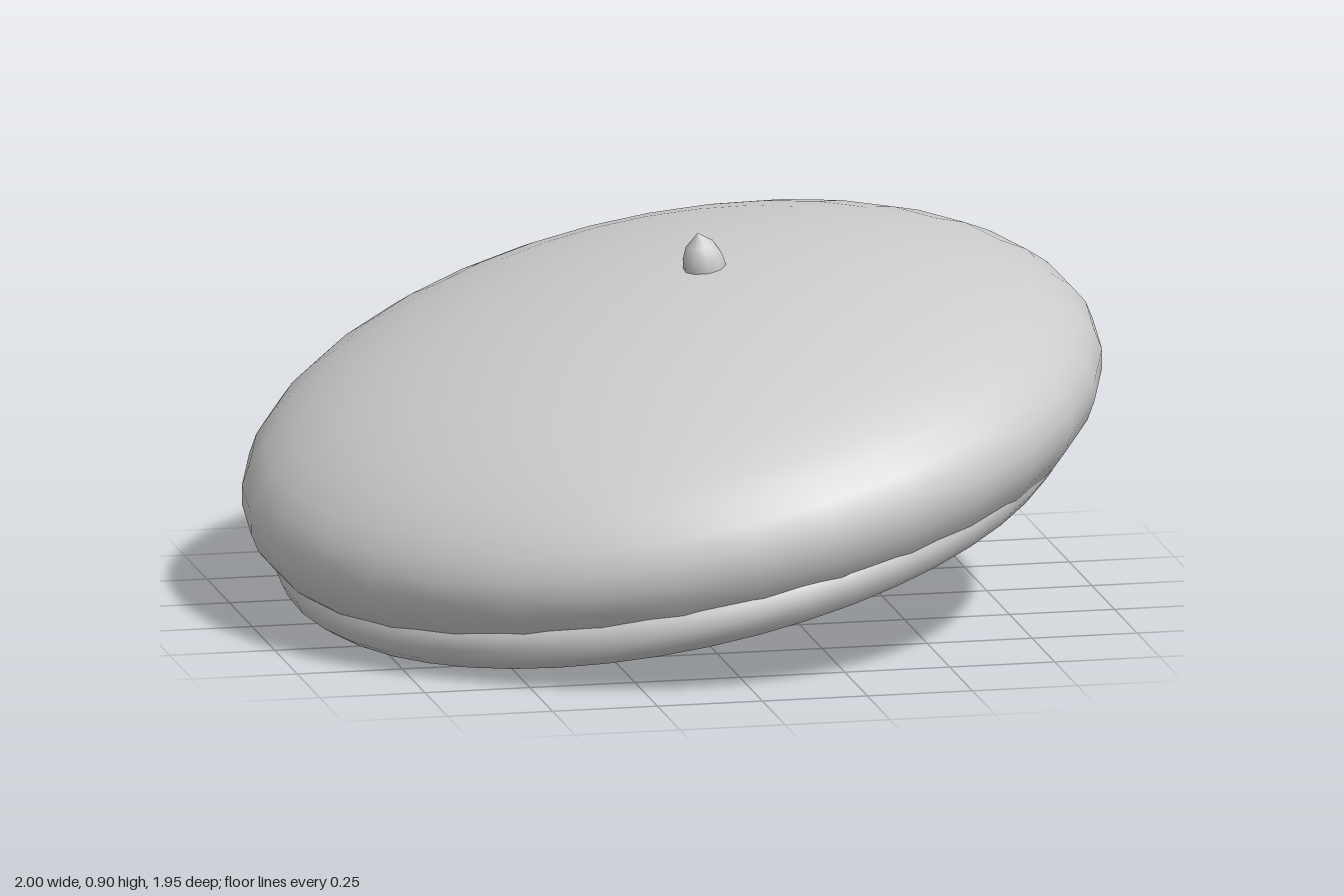
import * as THREE from 'three';

export function createModel() {
  const model = new THREE.Group();
  const felt = new THREE.MeshStandardMaterial({ color: 0xcccccc });
  felt.name = 'light grey felt';

  const add = (name, geometry, position, tiltX, tiltZ) => {
    const mesh = new THREE.Mesh(geometry, felt);
    mesh.name = name;
    mesh.position.set(...position);
    mesh.rotation.set(tiltX, 0, tiltZ);
    model.add(mesh);
    return mesh;
  };

  // Flattened, tilted crown of the cap
  const crown = add('crown', new THREE.SphereGeometry(1, 32, 24), [0, 0.431, 0], 0.12, 0.213);
  crown.scale.set(1.02, 0.365, 0.98);

  // Rolled head band, tilted more so that it sinks into the crown on one side
  const ring = new THREE.TorusGeometry(0.88, 0.067, 12, 48).rotateX(Math.PI / 2);
  add('headBand', ring, [0, 0.302, 0], 0.12, 0.225);

  // Small pointed stalk on top
  const profile = [[0.047, -0.03], [0.051, 0], [0.047, 0.028], [0.034, 0.058], [0, 0.088]]
    .map(([r, y]) => new THREE.Vector2(r, y));
  add('stalk', new THREE.LatheGeometry(profile, 10), [0.073, 0.813, 0.022], 0.12, 0.213);

  return model;
}
